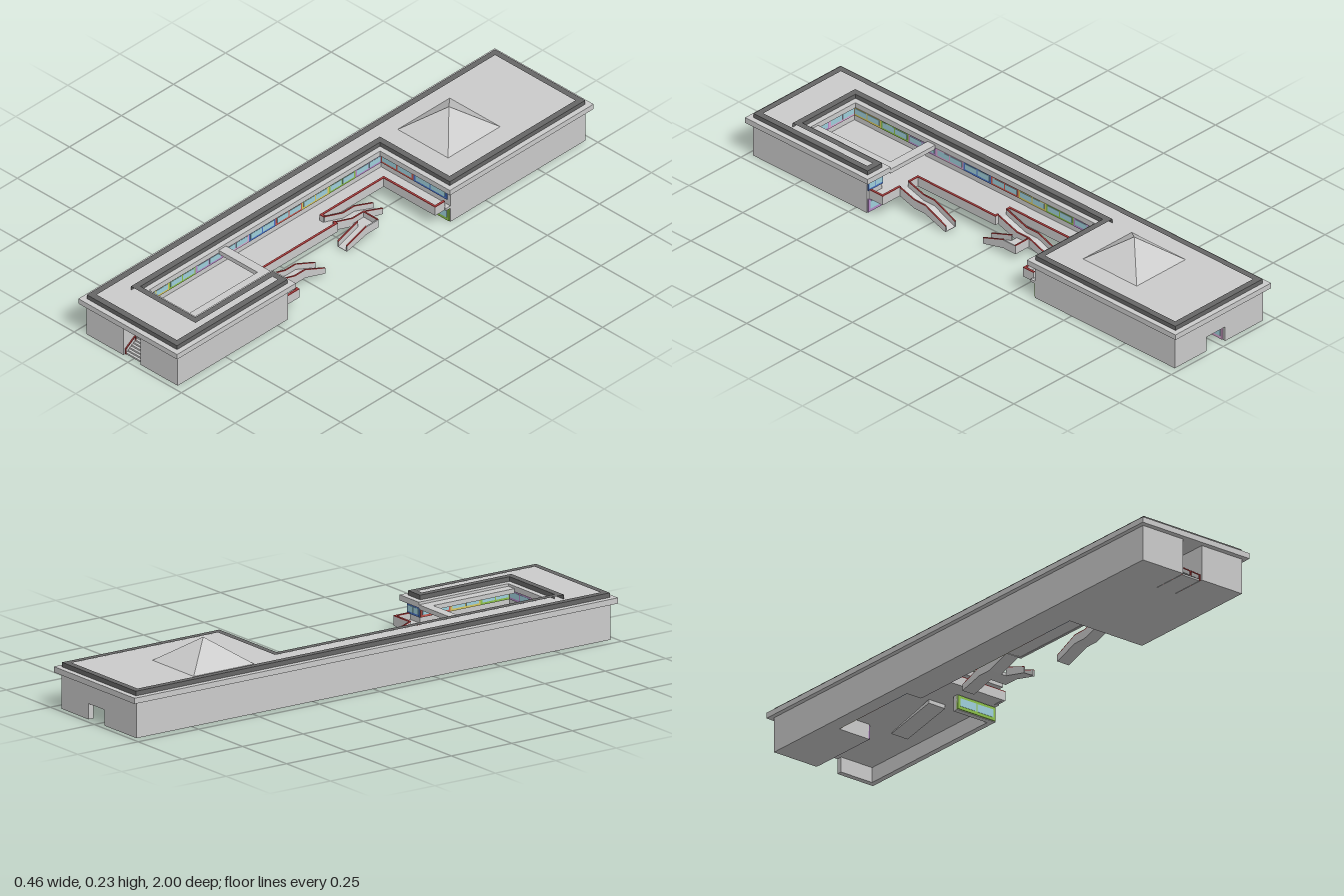
import * as THREE from 'three';

const mat = (color) => new THREE.MeshStandardMaterial({ color, flatShading: true });
const grey = mat(0xcccccc), dark = mat(0x666666), red = mat(0xb04040), glass = mat(0x9fd0dc);
const frames = [0xb58ac8, 0x8cc04a, 0xd8c860, 0xc85a50, 0x4a74c8, 0xd8a8d0].map(mat);

export function createModel() {
  const model = new THREE.Group();

  const add = (name, geo, material, parent = model) => {
    const m = new THREE.Mesh(geo, material);
    m.name = name;
    parent.add(m);
    return m;
  };
  const box = (name, x0, x1, y0, y1, z0, z1, material = grey, parent = model) => {
    const m = add(name, new THREE.BoxGeometry(x1 - x0, y1 - y0, z1 - z0), material, parent);
    m.position.set((x0 + x1) / 2, (y0 + y1) / 2, (z0 + z1) / 2);
    return m;
  };
  const group = (name) => {
    const g = new THREE.Group();
    g.name = name;
    model.add(g);
    return g;
  };
  const vecs = (pts) => pts.map(([x, z]) => new THREE.Vector2(x, -z));
  // Plan outline [x, z] raised from y0 to y1
  const slab = (name, pts, y0, y1, material = grey, hole) => {
    const shape = new THREE.Shape(vecs(pts));
    if (hole) shape.holes.push(new THREE.Path(vecs(hole)));
    const geo = new THREE.ExtrudeGeometry(shape, { depth: y1 - y0, bevelEnabled: false });
    geo.rotateX(-Math.PI / 2).translate(0, y0, 0);
    return add(name, geo, material);
  };
  // Inset of a right-angled outline
  const inset = (pts, d) => pts.map(([x, z], i) => {
    const p = pts[(i + pts.length - 1) % pts.length], n = pts[(i + 1) % pts.length];
    const a = [Math.sign(x - p[0]), Math.sign(z - p[1])];
    const b = [Math.sign(n[0] - x), Math.sign(n[1] - z)];
    return [x - d * (a[1] + b[1]), z + d * (a[0] + b[0])];
  });

  // Roof with raised dark kerb following its outline
  const roof = [[-0.23, -1], [0.23, -1], [0.23, -0.31], [-0.095, -0.31], [-0.095, 0.8],
    [0.12, 0.8], [0.12, 0.43], [0.23, 0.43], [0.23, 1], [-0.23, 1]];
  slab('roof', roof, 0.127, 0.147);
  slab('roofKerb', inset(roof, 0.02), 0.147, 0.163, dark, inset(roof, 0.043));
  box('courtBeam', -0.095, 0.12, 0.122, 0.138, 0.43, 0.465);
  box('courtLedge', 0.085, 0.12, 0.122, 0.138, 0.465, 0.8);

  // Pyramid skylight
  const pyramid = new THREE.ConeGeometry(Math.SQRT1_2, 0.088, 4, 1).rotateY(Math.PI / 4);
  pyramid.scale(0.235, 1, 0.25).translate(-0.022, 0.191, -0.565);
  add('pyramidSkylight', pyramid, grey);

  // Storeys, with the entrance recess cut in the front
  const X = 0.213, Z = 0.98;
  const front = [[X, 0.45], [X, Z], [0.04, Z], [0.04, 0.84], [-0.04, 0.84], [-0.04, Z], [-X, Z]];
  slab('upperStorey', [[-X, -Z], [X, -Z], [X, -0.33], [-0.11, -0.33], [-0.11, 0.82],
    [0.14, 0.82], [0.14, 0.45], ...front], 0.065, 0.127);
  slab('lowerStorey', [[-X, -Z], [-0.03, -Z], [-0.03, -0.7], [-0.16, -0.7], [-0.16, -0.34],
    [-0.1, -0.34], [-0.1, 0.45], ...front], 0, 0.055);
  slab('balconyDeck', [[-X, -Z], [X, -Z], [X, -0.31], [0.2, -0.31], [0.2, -0.27], [-0.04, -0.27],
    [-0.04, 0.03], [0.03, 0.03], [0.03, 0.39], [0.2, 0.39], [0.2, 0.45], ...front], 0.055, 0.065);

  // Thin walls around the rear underpass
  box('underpassSideWall', 0.193, X, 0, 0.055, -Z, -0.33);
  box('underpassBackWall', 0.06, 0.193, 0, 0.055, -Z, -0.96);
  box('underpassCourtWall', 0.05, 0.193, 0, 0.055, -0.35, -0.33);

  // Window bands: coloured frames holding pairs of panes
  let tint = 0;
  const windows = (name, ax, az, bx, bz, y0, y1) => {
    const g = group(name), len = Math.hypot(bx - ax, bz - az);
    const n = Math.max(1, Math.round(len / 0.13)), w = len / n, h = y1 - y0;
    for (let i = 0; i < n; i++) {
      const u = i * w;
      box('frame', u, u + w, 0, h, -0.004, 0.004, frames[tint++ % frames.length], g);
      for (let k = 0; k < 2; k++)
        box('pane', u + w * (0.06 + k * 0.46), u + w * (0.48 + k * 0.46),
          h * 0.22, h * 0.8, -0.005, 0.005, glass, g);
    }
    g.position.set(ax, y0, az);
    g.rotation.y = -Math.atan2(bz - az, bx - ax);
  };
  windows('upperWestWindows', -0.11, -0.33, -0.11, 0.82, 0.086, 0.122);
  windows('upperRearWindows', -0.11, -0.33, 0.2, -0.33, 0.086, 0.122);
  windows('courtFrontWindows', -0.11, 0.82, 0.14, 0.82, 0.086, 0.122);
  windows('courtEastWindows', 0.14, 0.82, 0.14, 0.45, 0.086, 0.122);
  windows('upperFrontWindows', 0.14, 0.45, 0.21, 0.45, 0.086, 0.122);
  windows('lowerWestWindows', -0.1, -0.34, -0.1, 0.45, 0.002, 0.052);
  windows('lowerFrontWindows', -0.1, 0.45, 0.21, 0.45, 0.002, 0.052);
  windows('lowerRearWindows', 0.05, -0.33, 0.21, -0.33, 0.002, 0.052);
  windows('underpassWindows', -0.16, -0.7, -0.16, -0.34, 0.002, 0.052);
  windows('passageWindows', -0.03, -0.97, -0.03, -0.7, 0.002, 0.052);

  // Balcony parapets with red caps, leaving gaps at the stairs
  const edges = [[0.2, -0.31, 0.2, -0.27], [0.2, -0.27, -0.04, -0.27], [-0.04, -0.27, -0.04, 0.03],
    [-0.04, 0.03, -0.03, 0.03], [0.02, 0.03, 0.03, 0.03], [0.03, 0.03, 0.03, 0.39],
    [0.03, 0.39, 0.07, 0.39], [0.12, 0.39, 0.2, 0.39], [0.2, 0.39, 0.2, 0.45]];
  const parapets = group('balconyParapets');
  for (const [ax, az, bx, bz] of edges) {
    const r = 0.004, x = [Math.min(ax, bx) - r, Math.max(ax, bx) + r];
    const z = [Math.min(az, bz) - r, Math.max(az, bz) + r];
    box('parapet', ...x, 0.053, 0.086, ...z, grey, parapets);
    box('parapetCap', ...x, 0.086, 0.089, ...z, red, parapets);
  }

  // Sloping strip along z: path of [z, y] points, between two offsets in height
  const strip = (name, x0, x1, path, lo, hi, material, parent) => {
    const pts = [...path.map(([z, y]) => [z, y + hi]), ...path.map(([z, y]) => [z, y + lo]).reverse()];
    const shape = new THREE.Shape(pts.map(([z, y]) => new THREE.Vector2(z, Math.max(0, y))));
    const geo = new THREE.ExtrudeGeometry(shape, { depth: x1 - x0, bevelEnabled: false });
    add(name, geo.rotateY(-Math.PI / 2).translate(x1, 0, 0), material, parent);
  };
  const flight = (name, x0, x1, path) => {
    const g = group(name);
    strip('steps', x0, x1, path, -0.012, 0, grey, g);
    for (const x of [x0, x1 - 0.005]) {
      strip('sideWall', x, x + 0.005, path, -0.012, 0.019, grey, g);
      strip('handrail', x, x + 0.005, path, 0.019, 0.022, red, g);
    }
  };
  flight('rearFlight', -0.03, 0.02, [[0.03, 0.065], [-0.06, 0.035], [-0.115, 0.035], [-0.205, 0.002]]);
  box('stairLanding', 0.015, 0.085, 0.023, 0.035, -0.115, -0.06);
  box('landingWall', 0.02, 0.085, 0.023, 0.054, -0.117, -0.112);
  box('landingRail', 0.02, 0.085, 0.054, 0.057, -0.117, -0.112, red);
  box('landingSideWall', 0.08, 0.085, 0.023, 0.054, -0.115, -0.06);
  flight('returnFlight', 0.04, 0.085, [[-0.06, 0.035], [0.035, 0.002]]);
  flight('frontFlight', 0.07, 0.12, [[0.39, 0.065], [0.32, 0.044], [0.27, 0.044], [0.175, 0.002]]);
  strip('underpassStairs', 0.0, 0.07, [[-0.42, 0.055], [-0.62, 0.004]], -0.014, 0, grey, model);

  // Entrance stairs rising into the building
  const entrance = group('entranceStairs'), count = 12;
  for (let i = 0; i < count; i++)
    box('step', -0.038, 0.038, 0, 0.072 * (i + 1) / count, 0.84, 0.97 - i * 0.009, grey, entrance);
  for (const x of [-0.04, 0.036]) {
    strip('entranceRail', x, x + 0.004, [[0.84, 0.087], [0.87, 0.087], [0.972, 0.02]], -0.002, 0.003, red, entrance);
    for (const [z, y] of [[0.968, 0.022], [0.92, 0.054], [0.87, 0.087]])
      box('railPost', x, x + 0.004, 0, y, z, z + 0.004, red, entrance);
  }
  box('entranceTopRail', -0.036, 0.036, 0.086, 0.09, 0.842, 0.846, red, entrance);
  box('entranceGlass', -0.012, 0.038, 0.09, 0.118, 0.838, 0.843, glass, entrance);

  return model;
}
